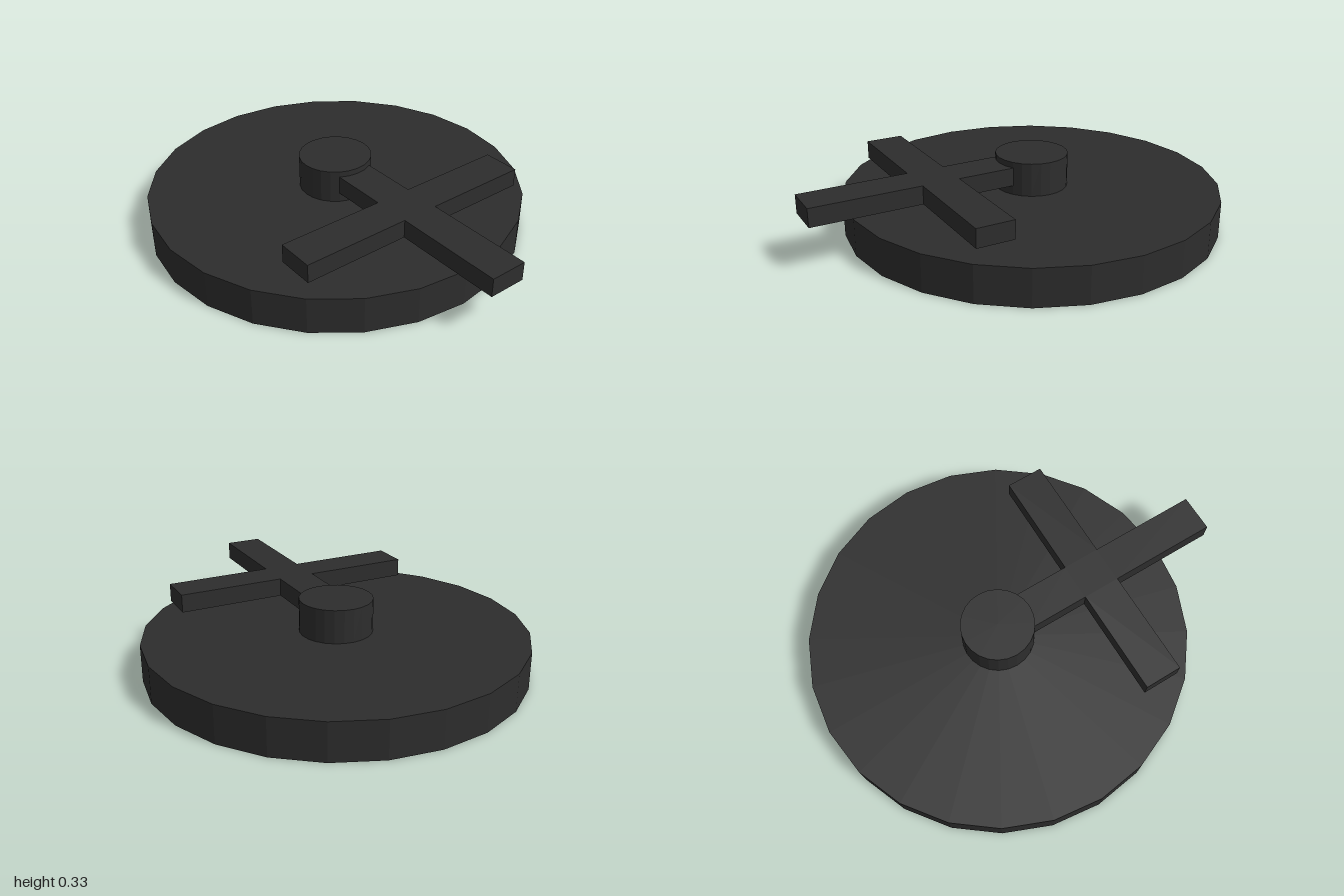
import * as THREE from 'three';

export function createModel() {
  const group = new THREE.Group();
  const charcoal = new THREE.MeshStandardMaterial({ color: 0x2d2d2d, flatShading: true });
  charcoal.name = 'charcoal';
  const axisZ = -0.11;

  const add = (name, geometry, x, y, z) => {
    const mesh = new THREE.Mesh(geometry, charcoal);
    mesh.name = name;
    mesh.position.set(x, y, z);
    group.add(mesh);
  };

  // Upright 24-sided disc standing between two heights
  const disc = (name, radius, bottom, top) =>
    add(name, new THREE.CylinderGeometry(radius, radius, top - bottom, 24), 0, (bottom + top) / 2, axisZ);

  disc('baseDisc', 0.89, 0, 0.175);
  disc('hub', 0.171, 0.175, 0.333);

  // Cross-shaped handle, one outline extruded upward; its back end sits inside the hub
  const w = 0.0875, reach = 0.595, barBack = 0.31, barFront = 0.487, back = 0, front = 1;
  const outline = [
    [-w, -front], [w, -front], [w, -barFront], [reach, -barFront], [reach, -barBack], [w, -barBack],
    [w, -back], [-w, -back], [-w, -barBack], [-reach, -barBack], [-reach, -barFront], [-w, -barFront],
  ].map(([x, y]) => new THREE.Vector2(x, y));
  const cross = new THREE.ExtrudeGeometry(new THREE.Shape(outline), { depth: 0.087, bevelEnabled: false });
  cross.rotateX(-Math.PI / 2);
  add('crossHandle', cross, 0, 0.219, 0);

  return group;
}
